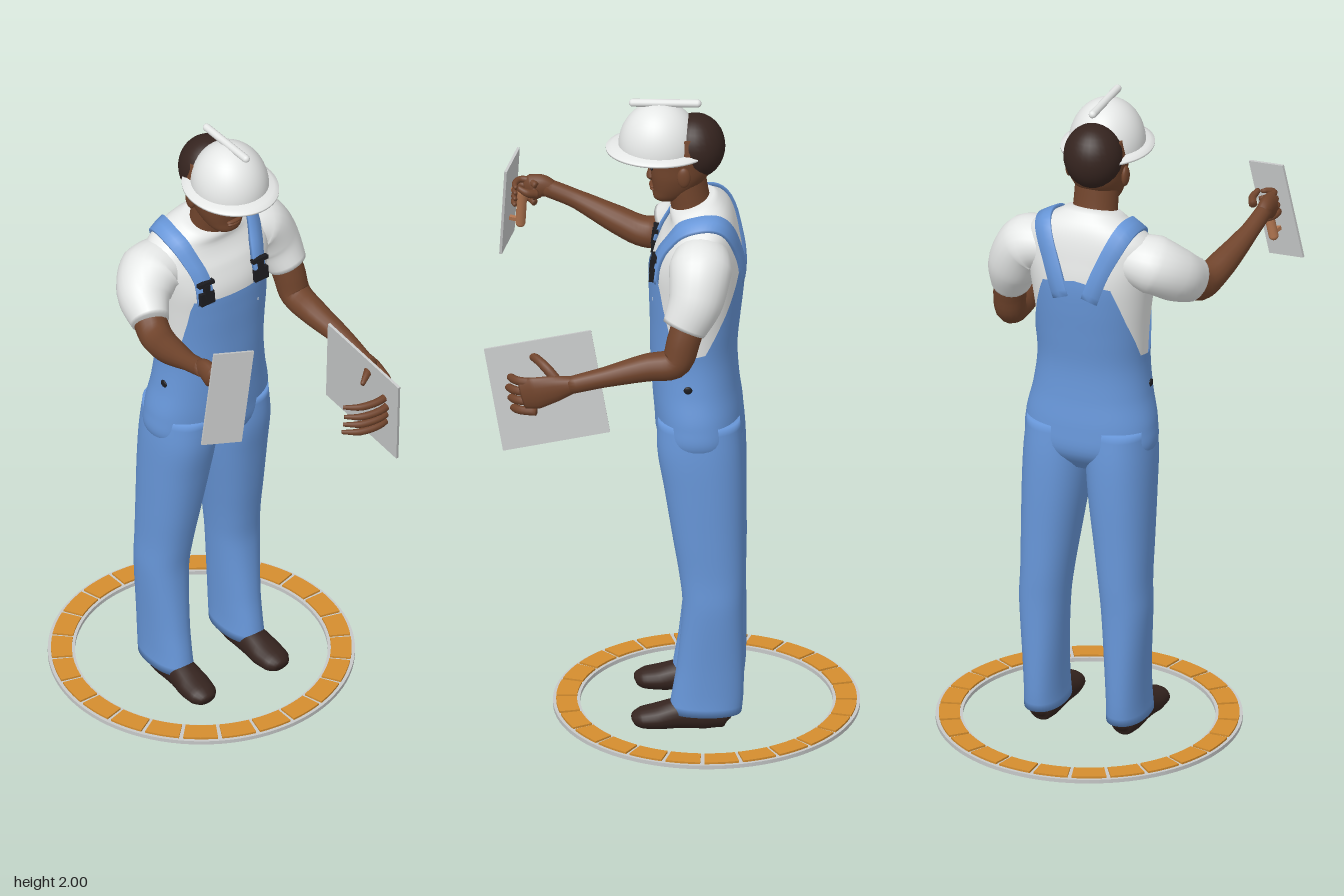
import * as THREE from 'three';

const mat = (name, color, side = THREE.FrontSide) => {
  const m = new THREE.MeshStandardMaterial({ color, side });
  m.name = name;
  return m;
};
const V = (x, y, z) => new THREE.Vector3(x, y, z);

// Skin closed rings of points, optionally capping both ends
function loft(rings, caps = true) {
  const n = rings[0].length, pos = [], idx = [];
  rings.forEach(r => r.forEach(p => pos.push(p.x, p.y, p.z)));
  for (let i = 0; i < rings.length - 1; i++) for (let j = 0; j < n; j++) {
    const a = i * n + j, b = i * n + (j + 1) % n;
    idx.push(a, a + n, b, b, a + n, b + n);
  }
  if (caps) [0, rings.length - 1].forEach((k, end) => {
    const c = rings[k].reduce((s, p) => s.add(p), V(0, 0, 0)).divideScalar(n);
    const ci = pos.push(c.x, c.y, c.z) / 3 - 1;
    for (let j = 0; j < n; j++) {
      const a = k * n + j, b = k * n + (j + 1) % n;
      idx.push(ci, end ? b : a, end ? a : b);
    }
  });
  const g = new THREE.BufferGeometry();
  g.setAttribute('position', new THREE.Float32BufferAttribute(pos, 3));
  g.setIndex(idx);
  g.computeVertexNormals();
  return g;
}

// Smooth lookup in a table of rows [y, centreX, radiusX, centreZ, radiusZ]
function sample(t, y) {
  let i = 0;
  while (i < t.length - 2 && y > t[i + 1][0]) i++;
  const h = t[i + 1][0] - t[i][0], u = THREE.MathUtils.clamp((y - t[i][0]) / h, 0, 1);
  const slope = (k, c) => {
    const a = t[Math.max(k - 1, 0)], b = t[Math.min(k + 1, t.length - 1)];
    return (b[c] - a[c]) / (b[0] - a[0]) * h;
  };
  return [1, 2, 3, 4].map(c => {
    const p = t[i][c], q = t[i + 1][c], m = slope(i, c), n = slope(i + 1, c);
    return p + u * u * (3 - 2 * u) * (q - p) + u * (1 - u) * (1 - u) * m - u * u * (1 - u) * n;
  });
}
function bodyPoint(t, y, a, grow = 0) {
  const [cx, rx, cz, rz] = sample(t, y), e = 0.9;
  const c = Math.cos(a), s = Math.sin(a);
  return V(cx + (rx + grow) * Math.sign(c) * Math.abs(c) ** e, y, cz + (rz + grow) * Math.sign(s) * Math.abs(s) ** e);
}
function column(t, rows = 40, seg = 40) {
  const y0 = t[0][0], y1 = t[t.length - 1][0];
  return loft(Array.from({ length: rows + 1 }, (_, i) => Array.from({ length: seg }, (_, j) =>
    bodyPoint(t, y0 + (y1 - y0) * i / rows, j / seg * Math.PI * 2))));
}

// Tapered limb through stations [x, y, z, radius, radius across]
function limb(st, up = V(0, 1, 0), seg = 16, rows = 24) {
  const curve = new THREE.CatmullRomCurve3(st.map(s => V(s[0], s[1], s[2])));
  return loft(Array.from({ length: rows + 1 }, (_, i) => {
    const u = i / rows, f = u * (st.length - 1), k = Math.min(Math.floor(f), st.length - 2);
    const r = c => THREE.MathUtils.lerp(st[k][c] ?? st[k][3], st[k + 1][c] ?? st[k + 1][3], f - k);
    const p = curve.getPoint(u), d = curve.getTangent(u);
    const e1 = up.clone().addScaledVector(d, -up.dot(d)).normalize(), e2 = e1.clone().cross(d);
    return Array.from({ length: seg }, (_, j) => {
      const a = j / seg * Math.PI * 2;
      return p.clone().addScaledVector(e1, r(3) * Math.cos(a)).addScaledVector(e2, r(4) * Math.sin(a));
    });
  }));
}

export function createModel() {
  const root = new THREE.Group();
  const blue = mat('denim blue', 0x6796d8, THREE.DoubleSide), white = mat('white', 0xe9ebea, THREE.DoubleSide);
  const skin = mat('brown skin', 0x70442c), dark = mat('dark brown', 0x35241f);
  const steel = mat('light grey', 0xc6c8c8), orange = mat('orange', 0xd48d2e);
  const wood = mat('wood', 0xb07550), black = mat('black', 0x1c1c20);
  const add = (name, geo, m, parent = root) => {
    const mesh = new THREE.Mesh(geo, m);
    mesh.name = name;
    parent.add(mesh);
    return mesh;
  };
  const ball = (name, m, p, s) => {
    const b = add(name, new THREE.SphereGeometry(1, 28, 18), m);
    b.position.set(...p);
    b.scale.set(...s);
    return b;
  };

  // Tiled ring on the floor
  const arc = (r0, r1, a0, a1) => {
    const s = new THREE.Shape();
    s.absarc(0, 0, r1, a0, a1, false);
    s.absarc(0, 0, r0, a1, a0, true);
    return s;
  };
  const flat = (shape, y, depth, curveSegments) => new THREE.ExtrudeGeometry(shape, { depth, bevelEnabled: false, curveSegments })
    .rotateX(-Math.PI / 2).translate(-0.1, y, 0);
  const disc = new THREE.Shape().absarc(0, 0, 0.457, 0, Math.PI * 2);
  disc.holes.push(new THREE.Path().absarc(0, 0, 0.376, 0, Math.PI * 2));
  add('ringBase', flat(disc, 0.01, 0.012, 48), steel);
  for (let i = 0; i < 24; i++) {
    const a = i * Math.PI / 12;
    add('ringTile', flat(arc(0.385, 0.447, a + 0.014, a + Math.PI / 12 - 0.014), 0.02, 0.008, 5), orange);
  }

  // Torso: shirt, with overalls as a slightly larger shell
  const torso = [[0.86, -0.085, 0.07, 0, 0.11], [0.92, -0.082, 0.118, 0, 0.188], [1, -0.077, 0.124, 0, 0.194],
    [1.1, -0.067, 0.122, 0, 0.174], [1.2, -0.062, 0.122, 0, 0.163], [1.3, -0.066, 0.127, 0, 0.17],
    [1.4, -0.07, 0.134, 0, 0.182], [1.48, -0.073, 0.135, 0, 0.195], [1.55, -0.08, 0.118, 0, 0.21],
    [1.6, -0.084, 0.1, 0, 0.198], [1.635, -0.08, 0.086, 0, 0.155], [1.665, -0.065, 0.074, 0, 0.1], [1.68, -0.06, 0.062, 0, 0.08]];
  const shirtGeo = column(torso.slice(4), 40, 56);
  const sp = shirtGeo.attributes.position;
  for (let i = 0; i < sp.count; i++) {
    const y = sp.getY(i); // the collar sits lower in front
    sp.setY(i, y - Math.max(0, y - 1.55) * 2.6 * (sp.getX(i) + 0.07));
  }
  shirtGeo.computeVertexNormals();
  const shirt = add('shirt', shirtGeo, white);
  const edge = [[0, 1.46], [42, 1.46], [50, 1.38], [66, 1.25], [85, 1.225], [105, 1.235], [130, 1.36], [150, 1.48], [180, 1.5]];
  const topAt = a => {
    const d = Math.abs(a > Math.PI ? a - 2 * Math.PI : a) * 180 / Math.PI;
    const k = Math.max(1, edge.findIndex(e => e[0] >= d - 1e-6)), [p, q] = [edge[k - 1], edge[k]];
    return THREE.MathUtils.lerp(p[1], q[1], (d - p[0]) / (q[0] - p[0]));
  };
  add('overallsBody', loft(Array.from({ length: 41 }, (_, i) => Array.from({ length: 72 }, (_, j) => {
    const a = j / 72 * Math.PI * 2;
    return bodyPoint(torso, THREE.MathUtils.lerp(0.86, topAt(a), i / 40), a, 0.008);
  })), false), blue);

  // Straps laid on the shirt by casting rays towards the chest
  const ray = new THREE.Raycaster();
  const drape = (p, lift) => {
    const c = V(-0.075, 1.46, p.z * 0.6), d = p.clone().sub(c).normalize();
    ray.set(c.clone().addScaledVector(d, 0.6), d.clone().negate());
    const hit = ray.intersectObject(shirt)[0];
    return (hit ? hit.point : p).clone().addScaledVector(d, lift);
  };
  for (const s of [1, -1]) {
    const path = new THREE.CatmullRomCurve3([V(0.07, 1.45, 0.105 * s), V(0.05, 1.54, 0.108 * s), V(0, 1.62, 0.13 * s),
      V(-0.07, 1.66, 0.142 * s), V(-0.14, 1.63, 0.125 * s), V(-0.2, 1.55, 0.085 * s), V(-0.21, 1.44, 0.045 * s)]);
    add('shoulderStrap', loft(Array.from({ length: 37 }, (_, i) => {
      const p = path.getPoint(i / 36), t = path.getTangent(i / 36);
      const w = t.clone().cross(p.clone().sub(V(-0.075, 1.46, p.z * 0.6))).normalize();
      return [[-1, 0], [-1, 1], [0, 1], [1, 1], [1, 0]].map(([k, up]) =>
        drape(p.clone().addScaledVector(w, k * 0.026), up ? 0.012 : -0.002));
    })), blue);
    // Buckle and its loop
    const clip = new THREE.Group();
    clip.name = 'buckle';
    clip.position.copy(drape(V(0.07, 1.5, 0.104 * s), 0.012));
    clip.rotation.z = 0.12;
    root.add(clip);
    add('buckleBase', new THREE.BoxGeometry(0.014, 0.04, 0.05), black, clip).position.y = -0.02;
    add('buckleBar', new THREE.BoxGeometry(0.016, 0.012, 0.056), black, clip).position.y = 0.03;
    add('buckleTab', new THREE.BoxGeometry(0.02, 0.045, 0.018), black, clip).position.y = 0.005;
    // Trouser leg, side button and shoe
    const z = 0.132 * s;
    add('trouserLeg', column([[0.05, -0.1, 0.108, z, 0.06], [0.1, -0.106, 0.107, z, 0.058], [0.2, -0.115, 0.1, z, 0.061],
      [0.4, -0.123, 0.091, z, 0.073], [0.5, -0.119, 0.097, 0.125 * s, 0.077], [0.62, -0.109, 0.107, 0.117 * s, 0.086],
      [0.78, -0.096, 0.12, 0.106 * s, 0.098], [0.9, -0.084, 0.128, 0.1 * s, 0.102], [1, -0.08, 0.122, 0.098 * s, 0.095]]), blue);
    ball('sideButton', black, [-0.05, 1.125, 0.178 * s], [0.013, 0.012, 0.005]);
    const shoe = limb([[-0.178, 0.035, z, 0.012, 0.012], [-0.165, 0.04, z, 0.042, 0.036], [-0.1, 0.045, z, 0.055, 0.046],
      [-0.02, 0.04, z, 0.048, 0.046], [0.04, 0.03, z * 1.02, 0.038, 0.052], [0.09, 0.025, z * 1.04, 0.03, 0.046],
      [0.113, 0.022, z * 1.05, 0.018, 0.026], [0.118, 0.02, z * 1.05, 0.004, 0.006]], V(0, 1, 0), 20, 30);
    const p = shoe.attributes.position;
    for (let i = 0; i < p.count; i++) p.setY(i, Math.max(0, p.getY(i)));
    shoe.computeVertexNormals();
    add('shoe', shoe, dark);
    // Ear, eye and brow
    ball('ear', skin, [-0.035, 1.785, 0.09 * s], [0.02, 0.032, 0.011]);
    ball('eye', black, [0.062, 1.79, 0.034 * s], [0.005, 0.006, 0.013]);
    const brow = ball('brow', dark, [0.064, 1.807, 0.035 * s], [0.008, 0.005, 0.022]);
    brow.rotation.x = 0.12 * s;
  }
  add('bibLabel', new THREE.BoxGeometry(0.008, 0.01, 0.018), white).position.set(0.055, 1.385, -0.083);

  // Head
  add('neck', limb([[-0.07, 1.6, 0, 0.064, 0.074], [-0.05, 1.68, 0, 0.06, 0.068], [-0.035, 1.77, 0, 0.06, 0.066]], V(1, 0, 0), 24), skin);
  add('head', column([[1.672, 0.022, 0.02, 0, 0.02], [1.685, 0.016, 0.042, 0, 0.044], [1.715, -0.002, 0.062, 0, 0.064],
    [1.76, -0.02, 0.085, 0, 0.08], [1.8, -0.03, 0.096, 0, 0.086], [1.85, -0.033, 0.104, 0, 0.09], [1.9, -0.025, 0.09, 0, 0.08]]), skin);
  add('nose', limb([[0.058, 1.8, 0, 0.006], [0.064, 1.77, 0, 0.01, 0.011], [0.066, 1.75, 0, 0.013, 0.019], [0.06, 1.738, 0, 0.005, 0.01]], V(1, 0, 0)), skin);
  ball('upperLip', skin, [0.061, 1.722, 0], [0.01, 0.006, 0.026]);
  ball('lowerLip', skin, [0.059, 1.711, 0], [0.01, 0.006, 0.022]);
  ball('hair', dark, [-0.067, 1.85, 0], [0.089, 0.1, 0.09]);

  // Hard hat: dome, brim and ridge
  const dome = add('helmetDome', new THREE.SphereGeometry(1, 40, 16, 0, Math.PI * 2, 0, Math.PI / 2), white);
  dome.position.set(0.04, 1.848, 0);
  dome.scale.set(0.123, 0.139, 0.114);
  const brim = add('helmetBrim', new THREE.LatheGeometry([[0.76, 0.008], [0.9, 0.003], [1, -0.004], [1, -0.01], [0.76, -0.004], [0.76, 0.008]]
    .map(([r, y]) => new THREE.Vector2(r, y)), 48), white);
  brim.position.set(0.043, 1.848, 0);
  brim.scale.set(0.157, 1, 0.138);
  add('helmetRidge', new THREE.CapsuleGeometry(0.012, 0.192, 6, 12).rotateZ(Math.PI / 2), white).position.set(0.023, 1.988, 0);

  // Arms and sleeves
  add('rightSleeve', limb([[-0.09, 1.55, 0.12, 0.07, 0.08], [-0.085, 1.535, 0.2, 0.088, 0.098], [-0.045, 1.495, 0.255, 0.082],
    [0.025, 1.45, 0.285, 0.068, 0.056]], V(0, 1, 0), 24), white);
  add('leftSleeve', limb([[-0.09, 1.55, -0.12, 0.08, 0.07], [-0.088, 1.535, -0.2, 0.095, 0.088], [-0.075, 1.455, -0.25, 0.082, 0.08],
    [-0.04, 1.375, -0.275, 0.066, 0.06]], V(1, 0, 0), 24), white);
  add('rightArm', limb([[-0.03, 1.48, 0.265, 0.052], [0.05, 1.425, 0.288, 0.05], [0.1, 1.422, 0.298, 0.047], [0.18, 1.45, 0.32, 0.042],
    [0.3, 1.5, 0.35, 0.028], [0.39, 1.532, 0.362, 0.024, 0.028]], V(0, 0, 1)), skin);
  add('leftArm', limb([[-0.07, 1.45, -0.255, 0.05], [-0.04, 1.34, -0.28, 0.05], [-0.015, 1.27, -0.287, 0.047], [0.07, 1.253, -0.288, 0.042],
    [0.2, 1.225, -0.303, 0.03], [0.3, 1.2, -0.308, 0.023, 0.027]], V(0, 0, 1)), skin);

  // Flat tools, placed by centre and two edge vectors
  const tool = (name, c, u, v) => {
    const g = new THREE.Group(), n = u.clone().cross(v).normalize(), y = v.clone().normalize();
    g.name = name;
    g.applyMatrix4(new THREE.Matrix4().makeBasis(y.clone().cross(n), y, n).setPosition(c));
    add(name + 'Plate', new THREE.BoxGeometry(u.length(), v.length(), 0.008), steel, g);
    root.add(g);
    return g;
  };
  tool('board', V(0.3675, 1.155, -0.249), V(0.317, -0.062, -0.022), V(0.058, 0.316, 0.037));
  const trowel = tool('trowel', V(0.4965, 1.4875, 0.3555), V(0.035, -0.025, -0.122), V(-0.017, 0.3, -0.059));
  add('trowelGrip', new THREE.CapsuleGeometry(0.015, 0.11, 6, 14), wood, trowel).position.set(0, -0.015, -0.038);
  for (const y of [-0.06, 0.045]) add('trowelStud', new THREE.BoxGeometry(0.012, 0.012, 0.035), wood, trowel).position.set(0, y, -0.02);

  // Right hand gripping the trowel
  add('rightPalm', limb([[0.37, 1.527, 0.36, 0.022, 0.026], [0.4, 1.535, 0.362, 0.024, 0.036], [0.43, 1.53, 0.362, 0.026, 0.042],
    [0.45, 1.525, 0.362, 0.015, 0.03]], V(0, 0, 1)), skin);
  for (let k = 0; k < 4; k++) {
    const y = 0.068 - k * 0.021;
    add('rightFinger', limb([[-0.012, y, -0.075, 0.011], [-0.03, y, -0.05, 0.011], [-0.024, y, -0.02, 0.01],
      [0.004, y, -0.014, 0.009], [0.022, y, -0.024, 0.006]], V(0, 1, 0), 10, 14), skin, trowel);
  }
  add('rightThumb', limb([[0.01, 0.055, -0.085, 0.013], [0.028, 0.065, -0.06, 0.012], [0.026, 0.075, -0.03, 0.008]], V(0, 1, 0), 10, 12), skin, trowel);

  // Left hand with fingers curling past the board
  add('leftPalm', limb([[0.28, 1.205, -0.307, 0.024, 0.022], [0.34, 1.19, -0.308, 0.042, 0.022], [0.4, 1.172, -0.303, 0.052, 0.02],
    [0.44, 1.16, -0.295, 0.045, 0.014]]), skin);
  for (let k = 0; k < 4; k++) {
    const y = 1.205 - k * 0.032, x = 0.43 - Math.abs(k - 1) * 0.006;
    add('leftFinger', limb([[x - 0.02, y, -0.3, 0.013], [x + 0.03, y - 0.002, -0.285, 0.013], [x + 0.054, y - 0.008, -0.24, 0.012],
      [x + 0.042, y - 0.014, -0.17, 0.011], [x + 0.012, y - 0.012, -0.122, 0.006]], V(0, 1, 0), 10, 16), skin);
  }
  add('leftThumb', limb([[0.33, 1.205, -0.305, 0.016], [0.37, 1.245, -0.28, 0.015], [0.41, 1.26, -0.235, 0.013], [0.435, 1.245, -0.195, 0.007]],
    V(0, 1, 0), 10, 14), skin);
  return root;
}
